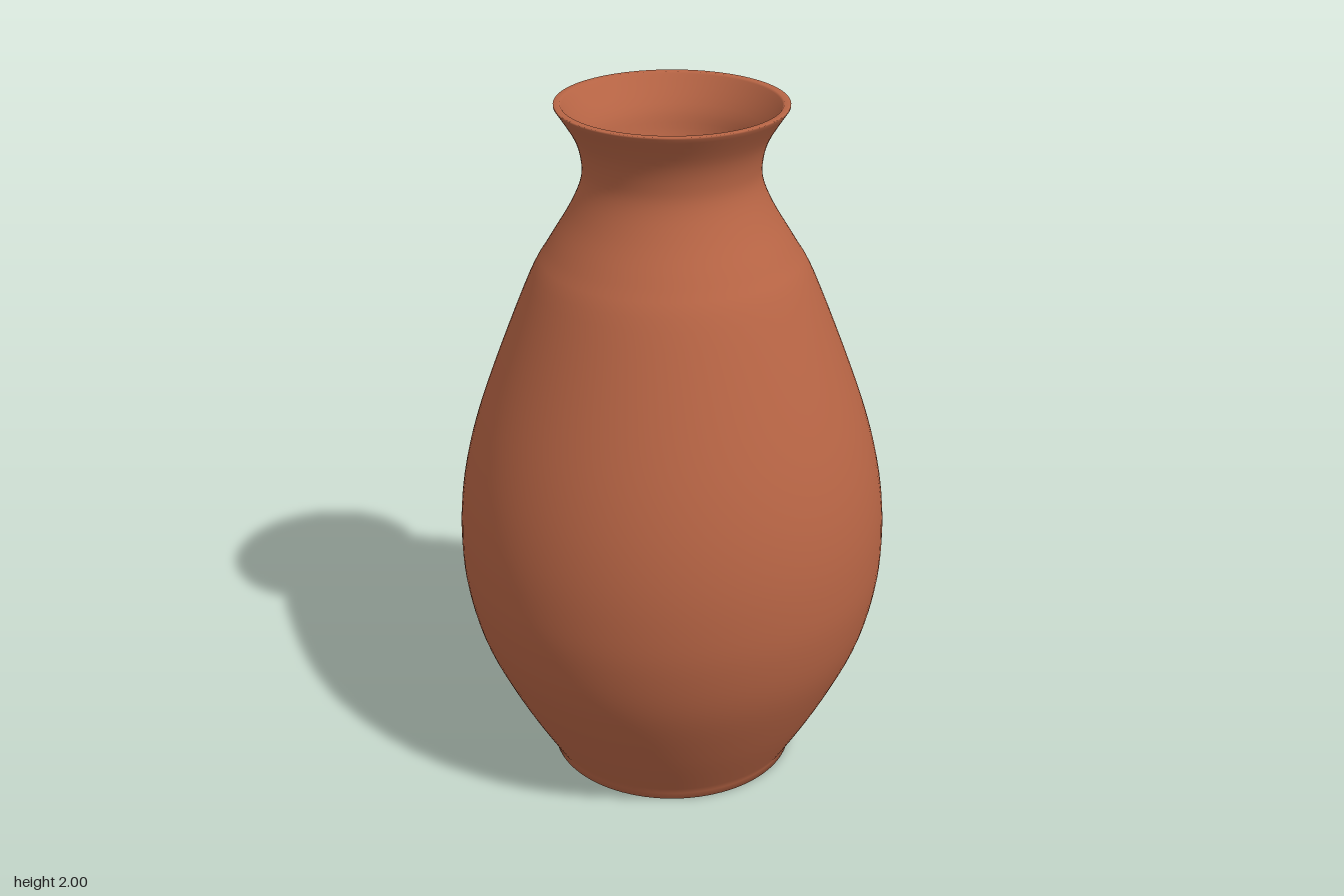
import * as THREE from 'three';

// Smooth curve through [radius, height] pairs
function curve(pairs, samples) {
  return new THREE.SplineCurve(pairs.map(([r, y]) => new THREE.Vector2(r, y))).getPoints(samples);
}

export function createModel() {
  const group = new THREE.Group();
  group.name = 'vase';
  const clay = new THREE.MeshStandardMaterial({ color: 0xb86545 });

  // Outer wall, from the foot to the flared lip
  const wall = curve([
    [0.36, 0.02], [0.465, 0.2], [0.56, 0.4], [0.604, 0.57], [0.615, 0.72], [0.605, 0.87],
    [0.572, 1.03], [0.51, 1.22], [0.4, 1.5], [0.345, 1.6], [0.285, 1.7], [0.25, 1.78],
    [0.246, 1.84], [0.265, 1.91], [0.318, 1.995],
  ], 70);

  // Hollow mouth, from the lip down to a rounded bottom
  const mouth = curve([
    [0.296, 1.995], [0.243, 1.91], [0.222, 1.84], [0.195, 1.78], [0.15, 1.73], [0.08, 1.69], [0, 1.68],
  ], 28);
  mouth[mouth.length - 1].x = 0;

  // Flat base, wall, narrow rim and mouth turned as one closed profile
  const profile = [
    new THREE.Vector2(0, 0), new THREE.Vector2(0.34, 0), new THREE.Vector2(0.358, 0),
    ...wall,
    new THREE.Vector2(0.318, 2), new THREE.Vector2(0.3, 2),
    ...mouth,
  ];
  const body = new THREE.Mesh(new THREE.LatheGeometry(profile, 96), clay);
  body.name = 'vaseBody';
  group.add(body);

  return group;
}
